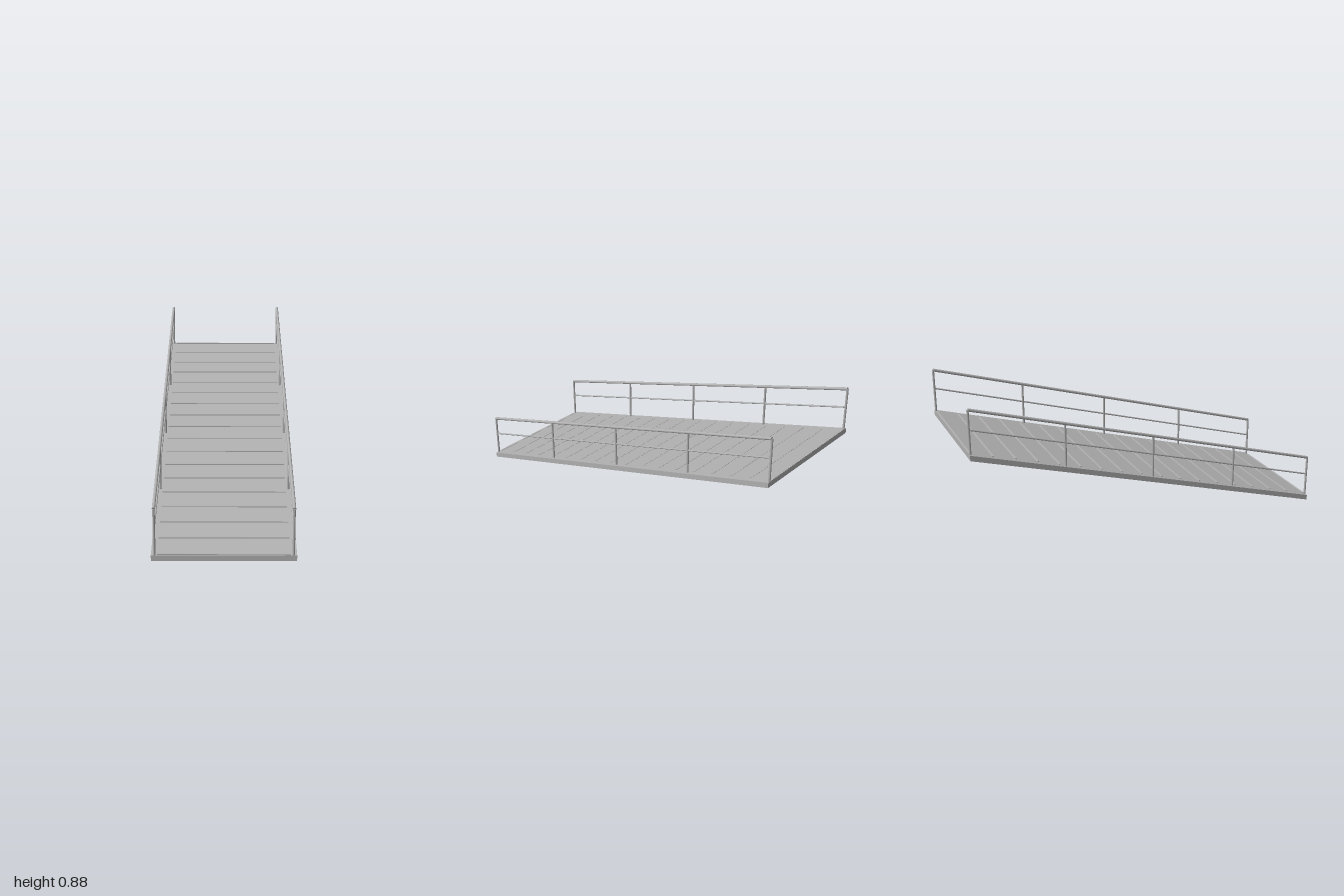
import * as THREE from 'three';

export function createModel() {
  const group = new THREE.Group();
  group.name = 'ramp';
  const metal = new THREE.MeshStandardMaterial({ color: 0xb0b0b0 });
  metal.name = 'grey metal';

  const slope = 0.304;
  const deckTop = (z) => 0.333 - slope * z;

  const add = (parent, geometry, name, x = 0, y = 0, z = 0) => {
    const mesh = new THREE.Mesh(geometry, metal);
    mesh.name = name;
    mesh.position.set(x, y, z);
    parent.add(mesh);
    return mesh;
  };

  // Round bar between two points
  const bar = (parent, name, a, b, radius) => {
    const dir = b.clone().sub(a);
    const mesh = add(parent, new THREE.CylinderGeometry(radius, radius, dir.length(), 12), name);
    mesh.position.copy(a).add(b).multiplyScalar(0.5);
    mesh.quaternion.setFromUnitVectors(new THREE.Vector3(0, 1, 0), dir.normalize());
  };

  // Sloping deck: a box sheared upwards towards the back
  const deck = new THREE.BoxGeometry(0.7, 0.029, 2);
  const pos = deck.attributes.position;
  for (let i = 0; i < pos.count; i++) {
    pos.setY(i, pos.getY(i) + deckTop(pos.getZ(i)) - 0.0145);
  }
  deck.computeVertexNormals();
  add(group, deck, 'deck');

  // Level anti-slip strips across the deck
  const strip = new THREE.BoxGeometry(0.64, 0.006, 0.011);
  for (let i = 0; i < 18; i++) {
    const z = 0.992 - i * 0.1168;
    add(group, strip, 'gripStrip', 0, deckTop(z), z);
  }

  // Railings on both sides
  const end = 0.994;
  for (const side of [-1, 1]) {
    const railing = new THREE.Group();
    railing.name = side > 0 ? 'leftRailing' : 'rightRailing';
    group.add(railing);
    const x = side * 0.333;
    const at = (z, height) => new THREE.Vector3(x, deckTop(z) + height, z);

    bar(railing, 'handrail', at(end, 0.234), at(-end, 0.234), 0.008);
    bar(railing, 'midRail', at(end, 0.13), at(-end, 0.13), 0.0045);
    for (const z of [-end, -0.497, 0, 0.497, end]) {
      bar(railing, 'post', at(z, -0.004), at(z, 0.234), 0.006);
    }
  }
  return group;
}
